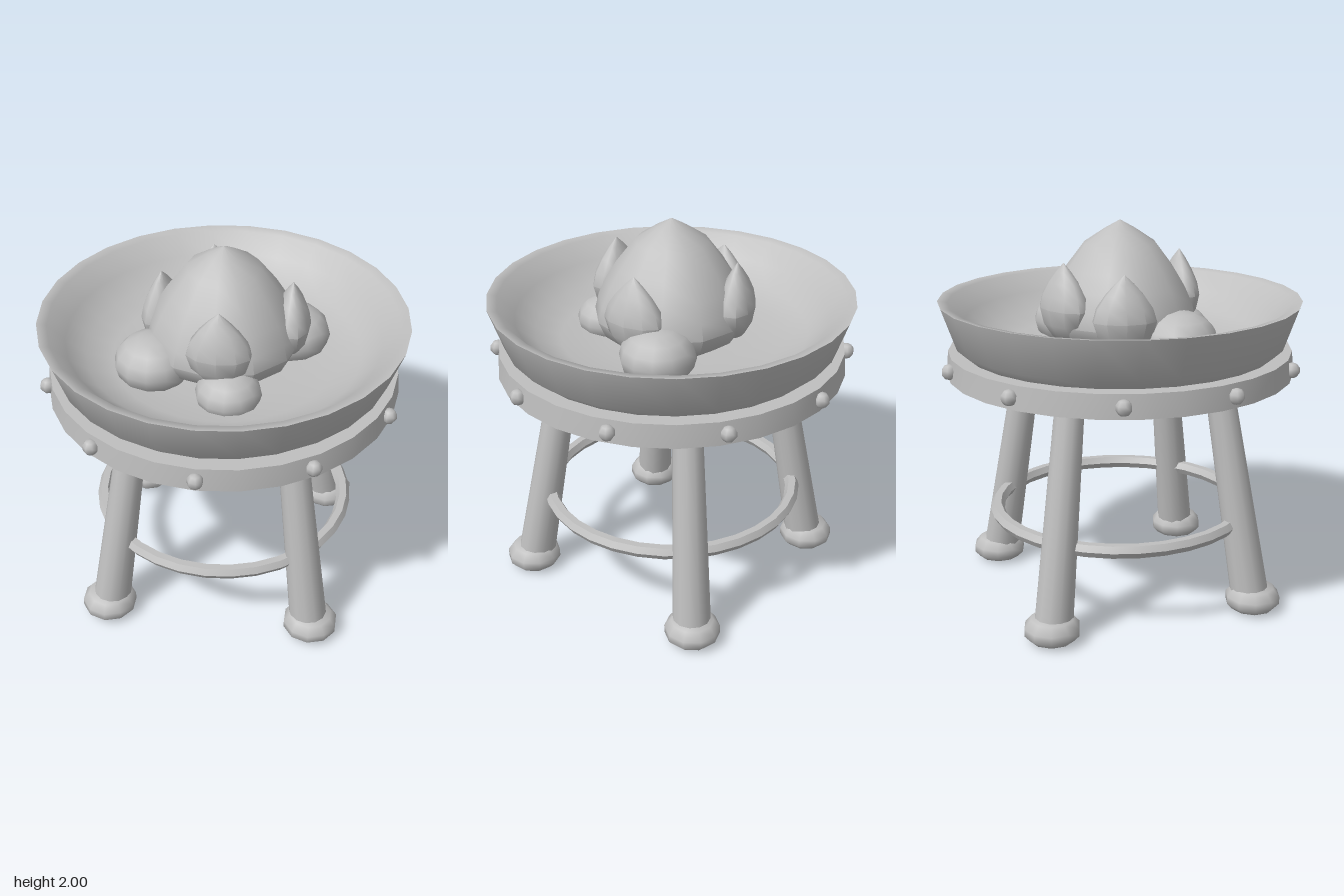
import * as THREE from 'three';
import { toCreasedNormals } from 'three/addons/utils/BufferGeometryUtils.js';

export function createModel() {
  const root = new THREE.Group();
  root.name = 'brazier';
  const grey = new THREE.MeshStandardMaterial({ color: 0xbfbfbf });
  grey.name = 'plain grey';

  const add = (name, geometry) => {
    const mesh = new THREE.Mesh(geometry, grey);
    mesh.name = name;
    root.add(mesh);
    return mesh;
  };
  // Profile points are [radius, height], running up the outside
  const smoothLathe = (points, sides) =>
    new THREE.LatheGeometry(points.map(([r, y]) => new THREE.Vector2(r, y)), sides);
  const lathe = (points, sides, crease) => toCreasedNormals(smoothLathe(points, sides), crease);

  // Bowl: underside and outer wall, then the soft lip and hollow inside
  add('bowlOutside', lathe([
    [0, 1.1], [0.2, 1.1], [0.36, 1.12], [0.64, 1.175], [0.69, 1.21],
    [0.81, 1.34], [0.86, 1.385], [0.935, 1.6],
  ], 28, 0.6));
  add('bowlInside', smoothLathe([
    [0.935, 1.6], [0.885, 1.592], [0.8, 1.5], [0.7, 1.415],
    [0.57, 1.37], [0.35, 1.35], [0, 1.345],
  ], 28));

  // Band around the bowl, with ten rivets
  const band = add('band', toCreasedNormals(new THREE.CylinderGeometry(0.89, 0.9, 0.12, 28), 0.6));
  band.position.y = 1.28;
  for (let i = 0; i < 10; i++) {
    const a = (i / 10) * Math.PI * 2;
    const rivet = add('rivet', new THREE.SphereGeometry(0.041, 7, 5));
    rivet.position.set(Math.sin(a) * 0.904, 1.28, Math.cos(a) * 0.904);
    rivet.rotation.y = a;
  }

  // Four splayed legs with rounded feet
  const up = new THREE.Vector3(0, 1, 0);
  const footProfile = [[0, 0], [0.085, 0.003], [0.115, 0.015], [0.143, 0.045], [0.143, 0.085], [0.11, 0.125], [0, 0.132]];
  for (const sx of [1, -1]) {
    for (const sz of [1, -1]) {
      const top = new THREE.Vector3(sx * 0.397, 1.17, sz * 0.397);
      const base = new THREE.Vector3(sx * 0.538, 0.06, sz * 0.538);
      const axis = top.clone().sub(base);
      const leg = add('leg', toCreasedNormals(
        new THREE.CylinderGeometry(0.075, 0.1, axis.length(), 12), 0.7));
      leg.position.copy(top).add(base).multiplyScalar(0.5);
      leg.quaternion.setFromUnitVectors(up, axis.normalize());
      const foot = add('foot', lathe(footProfile, 10, 1));
      foot.position.set(sx * 0.547, 0, sz * 0.547);
    }
  }

  // Ring bracing the legs
  const brace = add('braceRing', toCreasedNormals(new THREE.TorusGeometry(0.66, 0.037, 6, 32), 0.6));
  brace.rotation.x = Math.PI / 2;
  brace.position.y = 0.467;

  // Coals resting in the bowl: [x, y, z, radius, half height]
  for (const [x, y, z, r, h] of [
    [-0.325, 1.435, 0.2, 0.197, 0.145],
    [0.335, 1.43, -0.17, 0.192, 0.145],
    [0.075, 1.395, 0.355, 0.165, 0.12],
  ]) {
    const coal = add('coal', new THREE.SphereGeometry(1, 12, 8));
    coal.position.set(x, y, z);
    coal.scale.set(r, h, r);
  }

  // Large pointed flame
  add('mainFlame', lathe([
    [0, 1.32], [0.26, 1.35], [0.36, 1.42], [0.395, 1.5], [0.375, 1.58],
    [0.335, 1.67], [0.28, 1.76], [0.185, 1.885], [0.08, 1.955], [0, 2.0],
  ], 12, 0.8));

  // Small flames around it: [x, tip height, z, turn]
  const petal = lathe([
    [0, -0.39], [0.08, -0.375], [0.14, -0.31], [0.165, -0.23],
    [0.145, -0.165], [0.1, -0.1], [0.05, -0.045], [0, 0],
  ], 10, 0.8);
  for (const [x, y, z, turn] of [
    [0.025, 1.83, 0.335, 0],
    [0.34, 1.81, -0.03, Math.PI / 2 + 0.1],
    [-0.1, 1.815, -0.33, 0.4],
    [-0.33, 1.78, -0.09, Math.PI / 2 - 0.2],
  ]) {
    const flame = add('smallFlame', petal);
    flame.position.set(x, y, z);
    flame.rotation.y = turn;
    flame.scale.z = 0.58;
  }
  return root;
}
